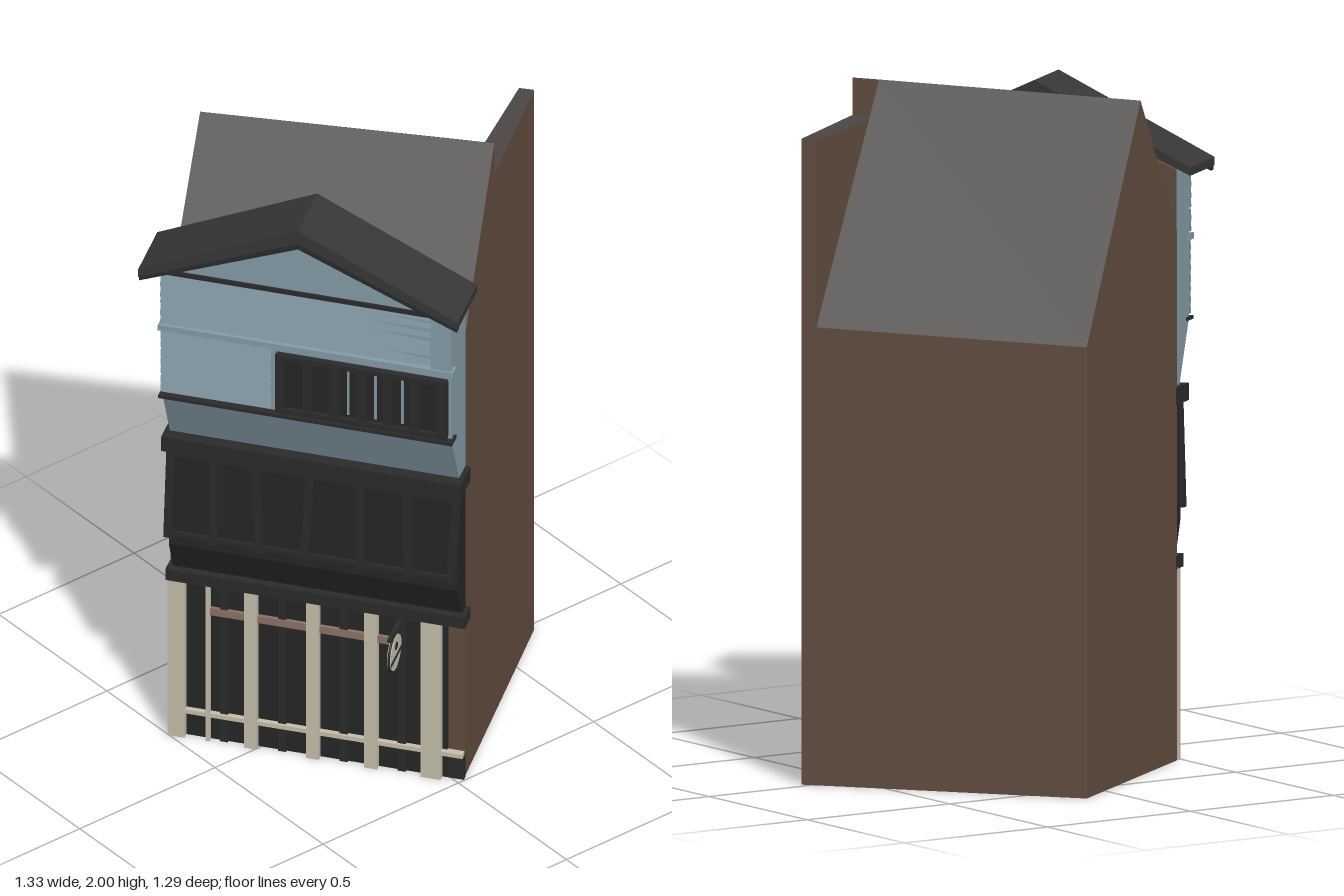
import * as THREE from 'three';

const mat = (name, color, side = THREE.FrontSide) => {
  const m = new THREE.MeshStandardMaterial({ color, side });
  m.name = name;
  return m;
};

export function createModel() {
  const brick = mat('brown wall', 0x624d40, THREE.DoubleSide);
  const slate = mat('grey slate', 0x4b4747, THREE.DoubleSide);
  const shingle = mat('dark shingle', 0x373737);
  const timber = mat('black timber', 0x2b2b2b);
  const panel = mat('dark panel', 0x262626);
  const siding = mat('pale blue siding', 0x869ca7);
  const cream = mat('cream paint', 0xc6c0ad);
  const mauve = mat('faded rail', 0x8b7367);

  const model = new THREE.Group();
  model.name = 'townhouse';

  const add = (parent, name, geo, material) => {
    const m = new THREE.Mesh(geo, material);
    m.name = name;
    parent.add(m);
    return m;
  };

  // Flat polygons, each given as corners and fanned into triangles
  const polygons = (faces) => {
    const pos = [];
    for (const f of faces)
      for (let i = 1; i < f.length - 1; i++) pos.push(...f[0], ...f[i], ...f[i + 1]);
    const g = new THREE.BufferGeometry();
    g.setAttribute('position', new THREE.Float32BufferAttribute(pos, 3));
    g.computeVertexNormals();
    return g;
  };

  // ---- House body on a slightly skewed plan: corner functions take a height
  const at = (x, z) => (y) => [x, y, z];
  const A = at(-0.48, -0.23), B = at(0.03, 0.49), C = at(0.66, 0.025), D = at(0.12, -0.645);
  const ridgeNear = at(0.3, 0.291), ridgeFar = at(-0.24, -0.394);
  const E = at(0.632, -0.01), F = at(0.25, 0.227), K = at(0.314, 0.187);

  add(model, 'houseWalls', polygons([
    [A(0), B(0), B(1.53), A(1.55)],
    [B(0), ridgeNear(0), ridgeNear(2), B(1.53)],
    [ridgeNear(0), C(0), C(1.89), ridgeNear(1.89)],
    [C(0), E(0), E(1.89), C(1.89)],
    [E(0), D(0), D(1.32), E(1.34)],
    [D(0), A(0), A(1.55), ridgeFar(1.975), D(1.32)],
    [A(0), D(0), C(0), B(0)],
    // step at the ridge and inner side of the parapet
    [ridgeNear(1.89), F(1.89), F(1.998), ridgeNear(2)],
    [F(1.998), F(1.89), K(1.89)],
    [K(1.89), E(1.34), E(1.89)],
  ]), brick);
  add(model, 'mainRoof', polygons([
    [A(1.55), B(1.53), ridgeNear(2), ridgeFar(1.975)],
    [F(1.998), E(1.34), D(1.32), ridgeFar(1.975)],
  ]), slate);
  add(model, 'parapetTop', polygons([[ridgeNear(1.89), C(1.89), E(1.89), F(1.89)]]), slate);

  // ---- Shop front: local x runs along the facade, local z points outwards
  const front = new THREE.Group();
  front.name = 'shopFront';
  front.rotation.y = -0.958;
  model.add(front);

  const box = (name, m, x0, x1, y0, y1, z0, z1) => {
    const b = add(front, name, new THREE.BoxGeometry(x1 - x0, y1 - y0, z1 - z0), m);
    b.position.set((x0 + x1) / 2, (y0 + y1) / 2, (z0 + z1) / 2);
    return b;
  };
  const extrude = (pts, depth) => new THREE.ExtrudeGeometry(
    new THREE.Shape(pts.map(([x, y]) => new THREE.Vector2(x, y))), { depth, bevelEnabled: false });
  // Side profile (outward, up) swept along the facade
  const sweep = (name, m, pts, x0, x1) => {
    const s = add(front, name, extrude(pts, x1 - x0), m);
    s.rotation.y = -Math.PI / 2;
    s.position.x = x1;
  };
  // Front outline swept outwards
  const slab = (name, m, pts, z0, z1) => {
    add(front, name, extrude(pts, z1 - z0), m).position.z = z0;
  };

  // Ground floor: dark boarding, cream pilasters and rails
  box('shopBoarding', panel, -0.455, 0.37, 0, 0.57, 0.25, 0.268);
  box('kickBoard', timber, 0.37, 0.42, 0, 0.085, 0.25, 0.268);
  for (const [x, w] of [[-0.44, 0.05], [-0.217, 0.038], [-0.03, 0.038], [0.145, 0.038], [0.325, 0.06]])
    box('pilaster', cream, x - w / 2, x + w / 2, 0, 0.565, 0.262, 0.288);
  box('thinPilaster', cream, -0.352, -0.34, 0, 0.565, 0.262, 0.285);
  for (const x of [-0.3, -0.125, 0.06, 0.235])
    box('darkStud', timber, x - 0.012, x + 0.012, 0, 0.565, 0.262, 0.276);
  box('baseRail', cream, -0.46, 0.42, 0.083, 0.097, 0.262, 0.284);
  box('middleRail', mauve, -0.34, 0.21, 0.438, 0.462, 0.262, 0.279);

  // First floor: dark panelled bay
  box('lowerBeam', timber, -0.465, 0.435, 0.56, 0.598, 0.25, 0.313);
  sweep('panelledBay', panel, [[0.25, 0.59], [0.285, 0.59], [0.328, 0.7], [0.326, 1.05], [0.25, 1.05]], -0.45, 0.42);
  for (const [x, lean] of [[-0.445, -0.03], [-0.31, 0], [-0.18, 0.02], [-0.03, -0.06], [0.13, 0], [0.27, 0.01], [0.41, -0.06]])
    box('bayPost', timber, x - 0.013, x + 0.013, 0.73, 1.045, 0.32, 0.342).rotation.z = lean;
  box('bayTopRail', timber, -0.45, 0.42, 1.015, 1.04, 0.32, 0.336);
  box('bayBottomRail', timber, -0.45, 0.42, 0.735, 0.75, 0.32, 0.336);
  box('upperBeam', timber, -0.465, 0.435, 1.04, 1.09, 0.25, 0.356);

  // Second floor: pale blue bay leaning out
  sweep('blueBay', siding, [[0.25, 1.09], [0.318, 1.09], [0.395, 1.27], [0.4, 1.73], [0.25, 1.73]], -0.45, 0.42);
  const boards = (x0, x1, y0, y1, n) => {
    const h = (y1 - y0) / n;
    for (let i = 0; i < n; i++) {
      const b = box('sidingBoard', siding, x0, x1, y0 + i * h, y0 + (i + 1) * h + 0.004, 0.396, 0.404);
      b.rotation.set(-0.22, 0.012, 0.012 * Math.sin(i * 2.3));
    }
  };
  boards(-0.452, 0.36, 1.525, 1.72, 6);
  boards(-0.452, -0.12, 1.285, 1.5, 7);
  box('cornerBoard', siding, 0.36, 0.422, 1.52, 1.73, 0.39, 0.409);
  box('upperLedge', siding, -0.458, 0.43, 1.503, 1.522, 0.38, 0.415);
  box('windowSill', timber, -0.456, 0.428, 1.268, 1.278, 0.37, 0.418);

  // Barred window
  box('windowPane', panel, -0.1, 0.4, 1.285, 1.485, 0.39, 0.404);
  for (const y of [1.285, 1.47]) box('windowRail', timber, -0.105, 0.41, y, y + 0.016, 0.39, 0.418);
  for (let i = 0; i <= 6; i++) {
    const x = -0.09 + i * 0.081;
    box('windowBar', timber, x - 0.015, x + 0.015, 1.29, 1.48, 0.39, 0.415);
  }
  for (const x of [0.112, 0.194, 0.275])
    box('windowSlit', siding, x - 0.004, x + 0.004, 1.31, 1.46, 0.4, 0.406);

  // Gable and canopy roof
  const ridgeX = -0.023;
  const chevron = (half, top, drop, thick) => [
    [ridgeX - half, top - drop], [ridgeX - half, top - drop - thick * 0.55], [ridgeX, top - thick],
    [ridgeX + half, top - drop - thick * 0.55], [ridgeX + half, top - drop], [ridgeX, top]];
  slab('backGable', brick, [[-0.46, 1.5], [0.42, 1.5], [0.42, 1.73], [ridgeX, 1.93], [-0.46, 1.73]], 0.25, 0.268);
  slab('gableWall', siding, [[-0.44, 1.725], [0.4, 1.725], [ridgeX, 1.925]], 0.26, 0.43);
  slab('canopyRoof', shingle, chevron(0.481, 1.965, 0.228, 0.045), 0.262, 0.463);
  slab('canopyFascia', timber, chevron(0.478, 1.962, 0.228, 0.062), 0.44, 0.461);
  box('gableTie', timber, -0.46, 0.42, 1.718, 1.732, 0.39, 0.437);

  // Round hanging sign facing along the street
  const sign = new THREE.Group();
  sign.name = 'hangingSign';
  sign.position.set(0.24, 0.48, 0.37);
  sign.rotation.y = Math.PI / 2;
  front.add(sign);
  const disc = (name, r, d, m) => {
    const g = new THREE.CylinderGeometry(r, r, d, 24);
    g.rotateX(Math.PI / 2);
    return add(sign, name, g, m);
  };
  disc('signFace', 0.055, 0.012, cream);
  add(sign, 'signRim', new THREE.TorusGeometry(0.056, 0.004, 6, 24), timber);
  add(sign, 'signBand', new THREE.BoxGeometry(0.105, 0.01, 0.016), timber).position.y = -0.012;
  disc('signDot', 0.012, 0.016, timber).position.y = 0.024;
  add(sign, 'signBracket', new THREE.BoxGeometry(0.14, 0.008, 0.012), timber).position.set(0.015, 0.073, 0);
  for (const x of [-0.025, 0.025])
    add(sign, 'signHanger', new THREE.BoxGeometry(0.005, 0.03, 0.005), timber).position.set(x, 0.06, 0);

  return model;
}
